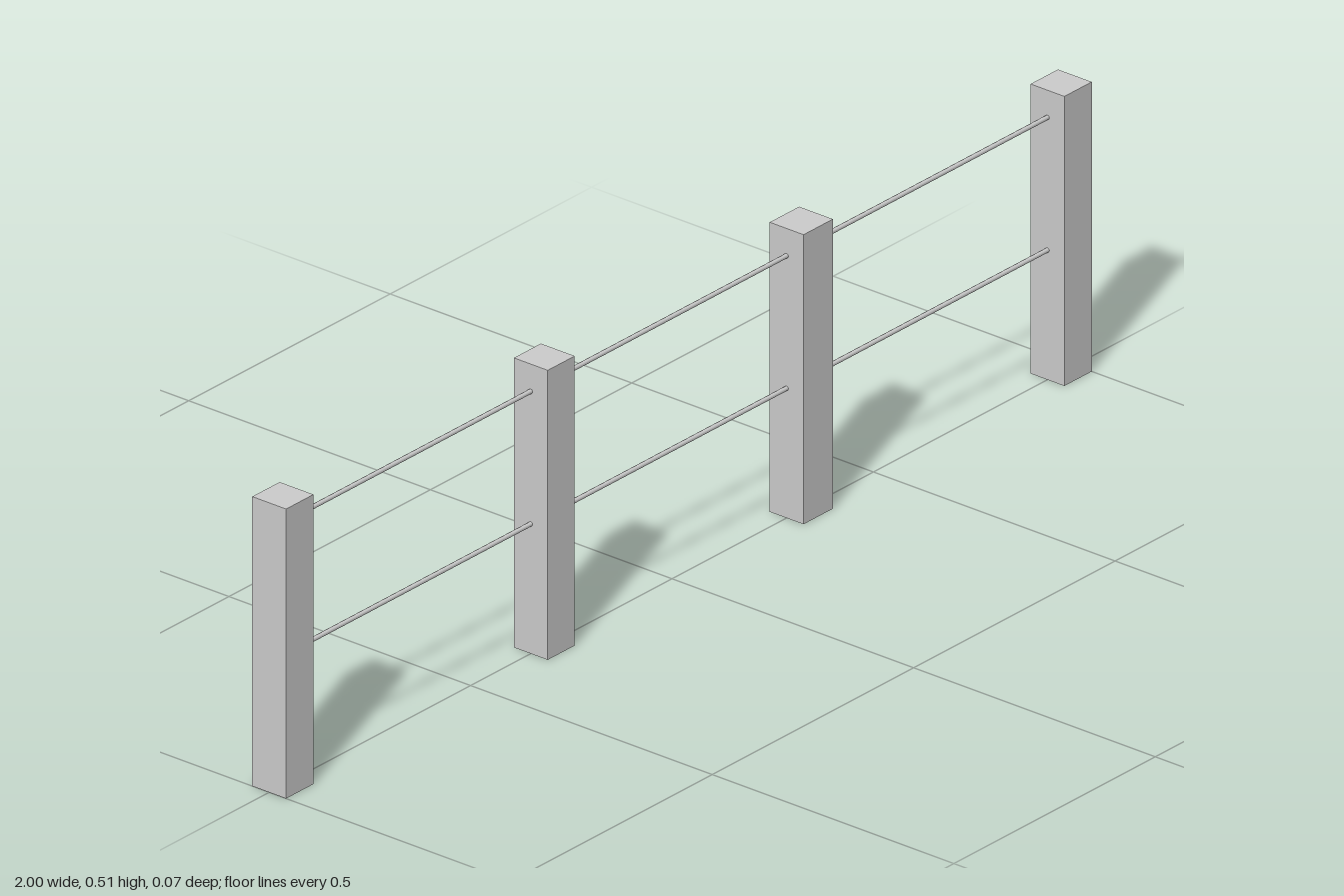
import * as THREE from 'three';

export function createModel() {
  const group = new THREE.Group();
  group.name = 'wireFence';
  const material = new THREE.MeshStandardMaterial({ color: 0xcccccc });
  const height = 0.513;

  // Square posts: centre x, width
  const posts = [[-0.966, 0.068], [-0.317, 0.067], [0.321, 0.073], [0.966, 0.068]];
  posts.forEach(([x, width], i) => {
    const post = new THREE.Mesh(new THREE.BoxGeometry(width, height, 0.07), material);
    post.name = `post${i + 1}`;
    post.position.set(x, height / 2, 0);
    group.add(post);
  });

  // Thin round wires strung from post to post
  const wires = [['lowerWire', 0.23], ['upperWire', 0.465]];
  for (const [name, y] of wires) {
    for (let i = 0; i < posts.length - 1; i++) {
      const start = posts[i][0] + posts[i][1] / 2 - 0.005;
      const end = posts[i + 1][0] - posts[i + 1][1] / 2 + 0.005;
      const wire = new THREE.Mesh(new THREE.CylinderGeometry(0.004, 0.004, end - start, 8), material);
      wire.name = `${name}${i + 1}`;
      wire.rotation.z = Math.PI / 2;
      wire.position.set((start + end) / 2, y, 0);
      group.add(wire);
    }
  }
  return group;
}
